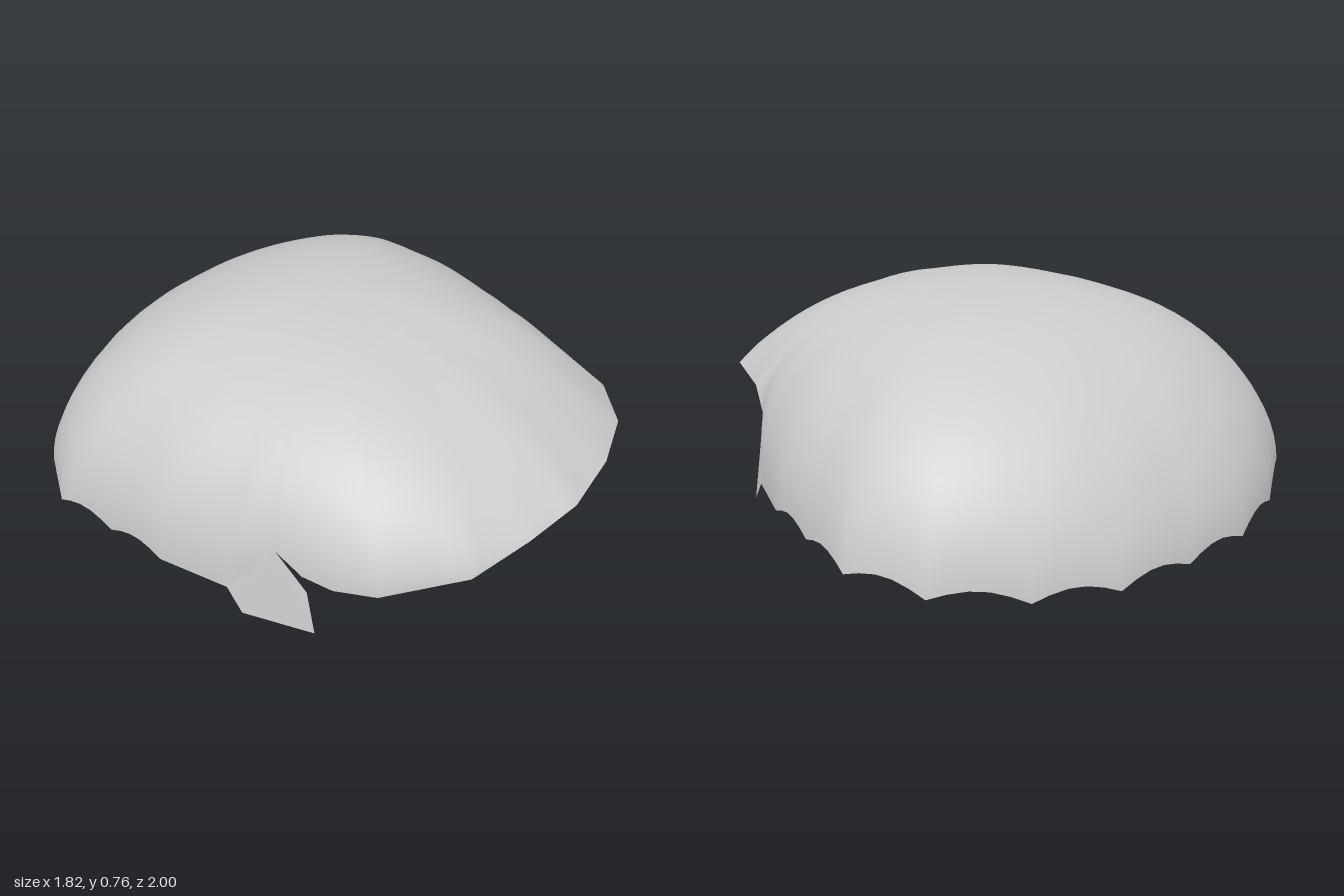
import * as THREE from 'three';

const ROWS = 18;                 // steps from rim to crown
const SUB = 5;                   // steps along each rim segment
const CROWN = new THREE.Vector3(0, 0.757, -0.04);

// Front hairline from the centre out to each temple (uneven fringe, both written with +x)
const fringeLeft = [[0, 0.39, 1], [0.24, 0.398, 0.96], [0.47, 0.385, 0.87], [0.62, 0.385, 0.72],
  [0.66, 0.385, 0.56], [0.69, 0.39, 0.45], [0.7, 0.3, 0.39]];
const fringeRight = [[0, 0.39, 1], [0.2, 0.355, 0.965], [0.4, 0.3, 0.9], [0.61, 0.25, 0.71],
  [0.67, 0.235, 0.58], [0.7, 0.25, 0.48], [0.72, 0.31, 0.39]];

// Cusps of the scalloped hem, from behind the ear to the centre of the back
const cusps = [[0.8, 0.115, 0.24], [0.87, 0.13, 0], [0.89, 0.13, -0.23], [0.91, 0.13, -0.48],
  [0.78, 0.105, -0.71], [0.53, 0.08, -0.88], [0.27, 0.072, -0.98], [0, 0.075, -1]];

// Sideburn corners below the temple: front edge, tip, rear corner
const sideburn = [[0.67, 0.15, 0.47], [0.68, 0, 0.51], [0.795, 0.035, 0.3]];

// Smooth loop under the dome, front centre to back centre
const base = [[0, 0.39, 1], [0.22, 0.35, 0.965], [0.43, 0.3, 0.885], [0.61, 0.255, 0.71],
  [0.675, 0.235, 0.58], [0.73, 0.22, 0.42], [0.81, 0.17, 0.2], [0.87, 0.14, 0],
  [0.89, 0.135, -0.23], [0.885, 0.13, -0.48], [0.765, 0.11, -0.71], [0.53, 0.1, -0.88],
  [0.27, 0.1, -0.975], [0, 0.1, -1]];

const mirror = ([x, y, z]) => [-x, y, z];
const baseLoop = new THREE.CatmullRomCurve3(
  [...base, ...base.slice(1, -1).reverse().map(mirror)].map((p) => new THREE.Vector3(...p)), true);

// Angle round the crown, 0 at the front
const angleOf = (x, z) => Math.atan2(Math.abs(x), z - CROWN.z);

// Point of the base loop lying in the same direction as (x, z)
function baseAt(x, z) {
  const target = angleOf(x, z);
  let lo = 0, hi = 0.5;
  for (let i = 0; i < 24; i++) {
    const mid = (lo + hi) / 2, p = baseLoop.getPoint(mid);
    if (angleOf(p.x, p.z) < target) lo = mid; else hi = mid;
  }
  const p = baseLoop.getPoint(lo);
  if (x < 0) p.x = -p.x;
  return p;
}

// Half of the rim, with an arch between neighbouring cusps of the hem
function halfRim(fringe) {
  const path = [...fringe, ...cusps], pts = [];
  for (let k = 0; k < path.length - 1; k++) {
    const a = path[k], b = path[k + 1];
    const rise = k > fringe.length ? 0.035 : 0;
    for (let i = 0; i < SUB; i++) {
      const t = i / SUB;
      const p = a.map((v, c) => v + (b[c] - v) * t);
      p[1] += rise * Math.sin(Math.PI * t);
      pts.push(p);
    }
  }
  return pts;
}

// Dome point above a base point: height share h along a superellipse to the crown
function domePoint(foot, bulge, h) {
  const s = Math.max(0, 1 - h ** bulge) ** (1 / 2.3);
  const p = CROWN.clone().lerp(foot, s);
  p.y = foot.y + (CROWN.y - foot.y) * h;
  return p;
}

function hairGeometry() {
  const rim = [...halfRim(fringeLeft), cusps.at(-1),
    ...halfRim(fringeRight).slice(1).reverse().map(mirror)];
  const n = rim.length, pos = [], idx = [];

  // Each column starts where the rim cuts the dome; sloping in front, full at the sides
  const columns = rim.map(([x, y, z]) => {
    const foot = baseAt(x, z);
    const c = Math.cos(angleOf(x, z));
    const bulge = 2 - (c > 0 ? 0.95 * c ** 4 : 0.4 * (-c) ** 1.5);
    const h0 = Math.max(0, (y - foot.y) / (CROWN.y - foot.y));
    const offset = new THREE.Vector3(x, y, z).sub(domePoint(foot, bulge, h0));
    return { foot, bulge, h0, offset, phi0: Math.asin(h0 ** (bulge / 2)) };
  });
  for (let j = 0; j < ROWS; j++) {
    for (const { foot, bulge, h0, offset, phi0 } of columns) {
      const phi = phi0 + (Math.PI / 2 - phi0) * (j / ROWS);
      const h = Math.sin(phi) ** (2 / bulge);
      const p = domePoint(foot, bulge, h);
      p.addScaledVector(offset, ((1 - h) / (1 - h0)) ** 3);   // hem outline fades out upwards
      pos.push(p.x, p.y, p.z);
    }
  }
  const crown = pos.length / 3;
  pos.push(...CROWN.toArray());
  for (let j = 0; j < ROWS; j++) {
    for (let i = 0; i < n; i++) {
      const a = j * n + i, b = j * n + (i + 1) % n;
      if (j === ROWS - 1) idx.push(a, b, crown);
      else idx.push(a, b, b + n, a, b + n, a + n);
    }
  }

  // Sideburns hang between the temple and the first cusp
  for (const side of [1, -1]) {
    const start = pos.length / 3;
    sideburn.forEach(([x, y, z]) => pos.push(x * side, y, z));
    const temple = side > 0 ? SUB * (fringeLeft.length - 1) : n - SUB * (fringeRight.length - 1);
    const fan = [start, start + 1, start + 2, temple + SUB * side];
    for (let k = 0; k < 3; k++) {
      if (side > 0) idx.push(temple, fan[k], fan[k + 1]);
      else idx.push(temple, fan[k + 1], fan[k]);
    }
  }

  const geo = new THREE.BufferGeometry();
  geo.setAttribute('position', new THREE.Float32BufferAttribute(pos, 3));
  geo.setIndex(idx);
  geo.computeVertexNormals();
  return geo;
}

export function createModel() {
  const group = new THREE.Group();
  group.name = 'hairpiece';
  const material = new THREE.MeshStandardMaterial({ color: 0xcccccc, side: THREE.DoubleSide });
  const shell = new THREE.Mesh(hairGeometry(), material);
  shell.name = 'hairShell';
  group.add(shell);
  return group;
}
